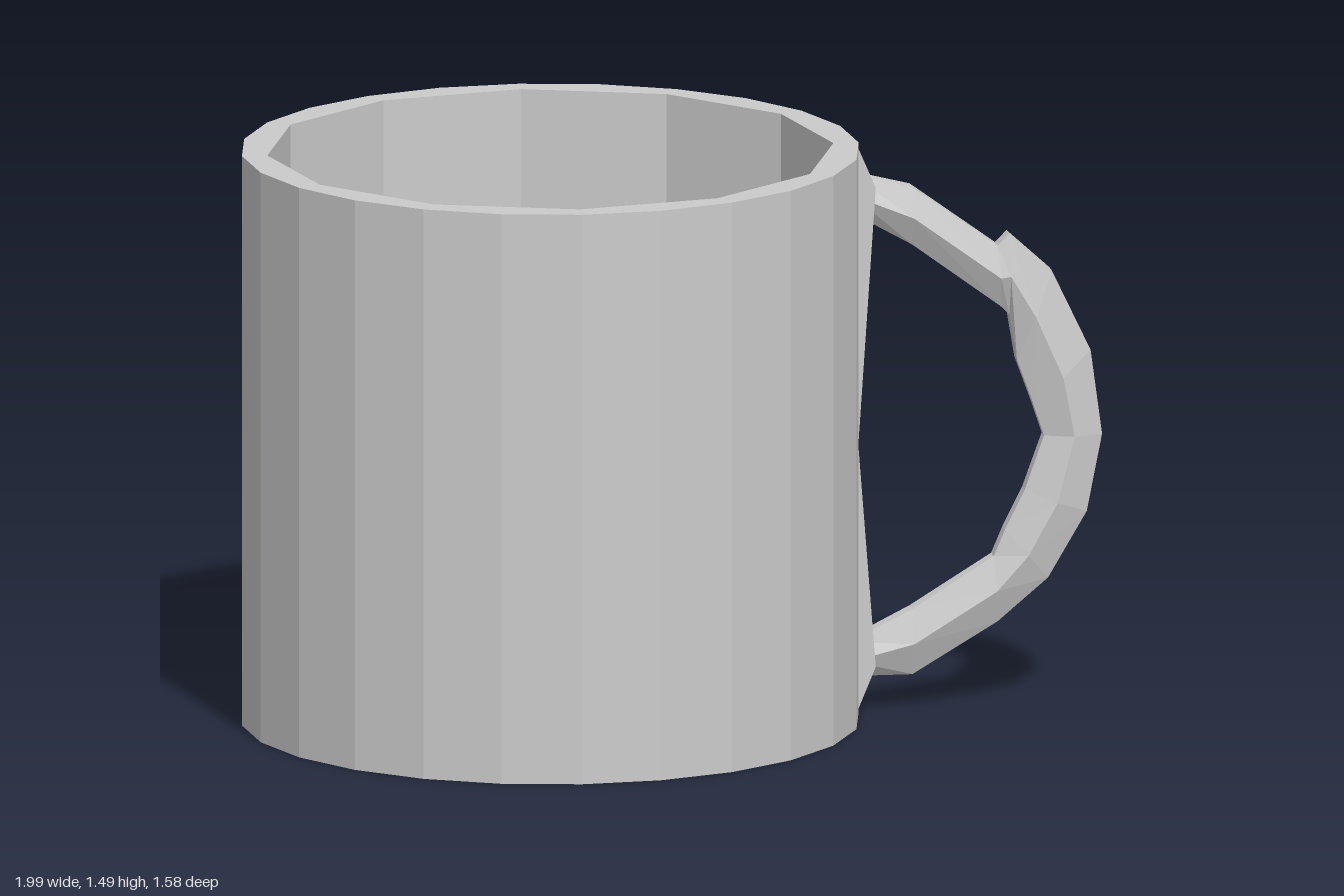
import * as THREE from 'three';

const H = 1.485, R = 0.79, FLOOR = 0.12, CX = -0.21;
const material = new THREE.MeshStandardMaterial({ color: 0xcccccc, flatShading: true });

function part(name, geometry, parent) {
  const mesh = new THREE.Mesh(geometry, material);
  mesh.name = name;
  parent.add(mesh);
  return mesh;
}

// Corner points of a regular polygon
function polygon(radius, sides) {
  return Array.from({ length: sides }, (_, i) => {
    const a = (i / sides) * Math.PI * 2;
    return new THREE.Vector2(radius * Math.cos(a), radius * Math.sin(a));
  });
}

// Closed solid skinned over loops of equal length, with fan caps at both ends
function loft(loops) {
  const n = loops[0].length, index = [];
  for (let i = 0; i < loops.length - 1; i++) {
    for (let j = 0; j < n; j++) {
      const a = i * n + j, b = i * n + (j + 1) % n;
      index.push(a, a + n, b, b, a + n, b + n);
    }
  }
  const last = (loops.length - 1) * n;
  for (let j = 1; j < n - 1; j++) {
    index.push(0, j, j + 1, last, last + j + 1, last + j);
  }
  const geometry = new THREE.BufferGeometry();
  geometry.setAttribute('position', new THREE.Float32BufferAttribute(loops.flat(2), 3));
  geometry.setIndex(index);
  const flat = geometry.toNonIndexed();
  flat.computeVertexNormals();
  return flat;
}

// Six-sided handle section between an outer and an inner point
function section([ox, oy, ix, iy, w]) {
  const mx = (ox + ix) / 2, my = (oy + iy) / 2, e = w * 0.4;
  return [
    [ox, oy, e], [ox, oy, -e], [mx, my, -w],
    [ix, iy, -e], [ix, iy, e], [mx, my, w],
  ];
}

export function createModel() {
  const model = new THREE.Group();
  model.name = 'mug';

  // Cup: solid base and a round wall around a twelve-sided hollow
  const cup = new THREE.Group();
  cup.name = 'cup';
  cup.position.x = CX;
  model.add(cup);
  part('base', new THREE.CylinderGeometry(R, R, FLOOR, 24), cup).position.y = FLOOR / 2;

  const ring = new THREE.Shape(polygon(R, 24));
  ring.holes.push(new THREE.Path(polygon(0.725, 12)));
  const wall = new THREE.ExtrudeGeometry(ring, { depth: H - FLOOR, bevelEnabled: false });
  wall.rotateX(-Math.PI / 2);
  part('wall', wall, cup).position.y = FLOOR;

  // Handle group, turned towards the back of the left side
  const handle = new THREE.Group();
  handle.name = 'handle';
  handle.position.x = CX;
  handle.rotation.y = THREE.MathUtils.degToRad(33);
  model.add(handle);

  // Faceted grip: outer x, y, inner x, y, half width
  const sections = [
    [0.77, 1.40, 0.77, 1.30, 0.055],
    [0.93, 1.36, 0.93, 1.21, 0.058],
    [1.15, 1.20, 1.16, 1.04, 0.054],
    [1.18, 1.23, 1.18, 1.02, 0.058],
    [1.29, 1.13, 1.20, 0.90, 0.055],
    [1.39, 0.92, 1.24, 0.79, 0.055],
    [1.42, 0.70, 1.27, 0.70, 0.048],
    [1.38, 0.50, 1.22, 0.56, 0.055],
    [1.28, 0.33, 1.17, 0.46, 0.055],
    [1.15, 0.22, 1.14, 0.39, 0.054],
    [0.93, 0.09, 0.93, 0.26, 0.058],
    [0.77, 0.09, 0.77, 0.18, 0.055],
  ];
  part('grip', loft(sections.map(section)), handle);

  // Thin mounting rib along the wall, flaring where the grip meets it
  const rib = new THREE.Shape([
    [0.74, 0], [0.78, 0], [0.83, 0.12], [0.785, 0.70],
    [0.83, 1.37], [0.78, H], [0.74, H],
  ].map(([x, y]) => new THREE.Vector2(x, y)));
  const ribGeometry = new THREE.ExtrudeGeometry(rib, { depth: 0.12, bevelEnabled: false });
  part('rib', ribGeometry, handle).position.z = -0.06;

  return model;
}
